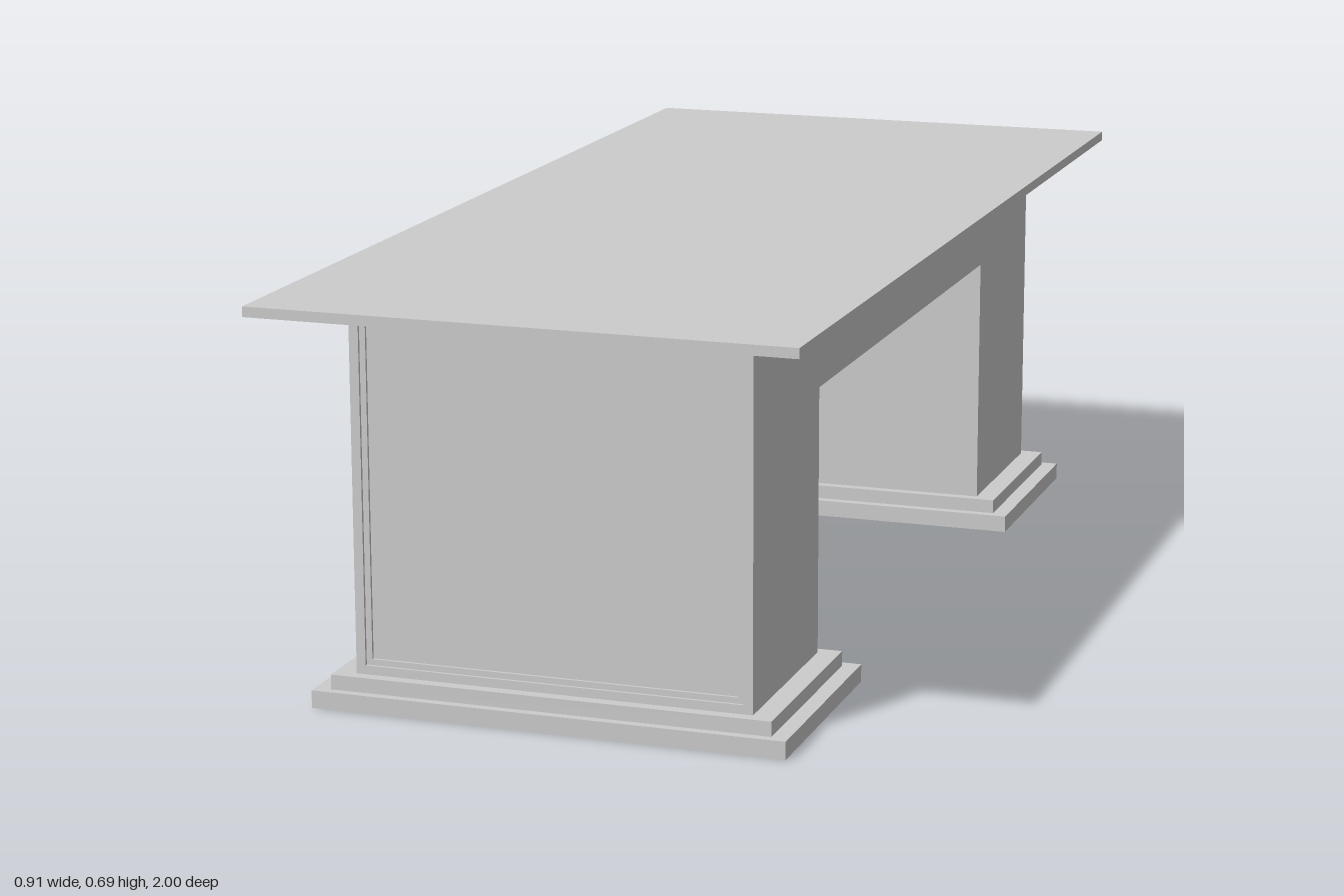
import * as THREE from 'three';

const material = new THREE.MeshStandardMaterial({ color: 0xcccccc });
const STEP = 0.005; // depth of each step of the panel moulding

function add(parent, name, geometry) {
  const mesh = new THREE.Mesh(geometry, material);
  mesh.name = name;
  parent.add(mesh);
  return mesh;
}

// Box given by half width in x, a y range and a z range
function slab(parent, name, halfX, y0, y1, z0, z1) {
  const mesh = add(parent, name, new THREE.BoxGeometry(halfX * 2, y1 - y0, z1 - z0));
  mesh.position.set(0, (y0 + y1) / 2, (z0 + z1) / 2);
}

function polygon(points, Type = THREE.Shape) {
  return new Type(points.map(([u, v]) => new THREE.Vector2(u, v)));
}

const extrude = (shape, depth) => new THREE.ExtrudeGeometry(shape, { depth, bevelEnabled: false });

// Two stacked plates whose openings narrow inwards, giving a stepped recess
function steppedFrame(parent, name, outline, openings) {
  const group = new THREE.Group();
  group.name = name;
  [0.01, 0].forEach((inset, i) => {
    const shape = polygon(outline);
    for (const [u0, u1, v0, v1] of openings) {
      const a = u0 + inset, b = u1 - inset, c = v0 + inset, d = v1 - inset;
      shape.holes.push(polygon([[a, c], [a, d], [b, d], [b, c]], THREE.Path));
    }
    add(group, name + 'Step', extrude(shape, STEP)).position.z = i * STEP;
  });
  parent.add(group);
  return group;
}

export function createModel() {
  const desk = new THREE.Group();
  desk.name = 'desk';

  // Top with a smaller moulding below
  slab(desk, 'top', 0.455, 0.668, 0.685, -1, 1);
  slab(desk, 'topMoulding', 0.42, 0.657, 0.668, -0.955, 0.955);

  // Body: two pedestals joined by an apron over the kneehole
  const y0 = 0.055, y1 = 0.657, apron = 0.505, knee = 0.515, end = 0.85;
  const outline = [
    [-end, y0], [-knee, y0], [-knee, apron], [knee, apron],
    [knee, y0], [end, y0], [end, y1], [-end, y1],
  ];
  const body = add(desk, 'body', extrude(polygon(outline), 0.666));
  body.rotation.y = -Math.PI / 2;
  body.position.x = 0.338;

  // Drawer and door openings
  const openings = [];
  for (const s of [-1, 1]) {
    const cell = (a, b, v0, v1) => openings.push([Math.min(s * a, s * b), Math.max(s * a, s * b), v0, v1]);
    cell(0.53, 0.84, 0.07, 0.345);
    cell(0.53, 0.84, 0.37, 0.495);
    cell(0.53, 0.84, 0.52, 0.645);
    cell(0.01, 0.505, 0.52, 0.645);
  }
  const drawerFront = steppedFrame(desk, 'drawerFrame', outline, openings);
  drawerFront.rotation.y = -Math.PI / 2;
  drawerFront.position.x = -0.328;

  // Panelled ends and stepped plinths
  for (const s of [-1, 1]) {
    const panel = steppedFrame(desk, 'endPanelFrame',
      [[-0.338, y0], [0.338, y0], [0.338, y1], [-0.338, y1]],
      [[-0.322, 0.322, 0.07, 0.647]]);
    panel.position.z = s * end;
    if (s < 0) panel.rotation.y = Math.PI;

    const span = (a, b) => (s > 0 ? [a, b] : [-b, -a]);
    slab(desk, 'plinth', 0.403, 0, 0.03, ...span(0.48, 0.895));
    slab(desk, 'plinthStep', 0.375, 0.03, 0.055, ...span(0.497, 0.88));
  }

  // Knobs: stem and ball
  for (const [y, z, reach] of [[0.582, -0.258, 0.369], [0.582, 0.258, 0.369], [0.43, -0.686, 0.366], [0.43, 0.686, 0.366]]) {
    const knob = new THREE.Group();
    knob.name = 'knob';
    knob.position.set(-reach, y, z);
    add(knob, 'knobBall', new THREE.SphereGeometry(0.016, 24, 16));
    const length = reach - 0.328;
    const stem = add(knob, 'knobStem', new THREE.CylinderGeometry(0.006, 0.006, length, 16));
    stem.rotation.z = Math.PI / 2;
    stem.position.x = length / 2;
    desk.add(knob);
  }

  return desk;
}
